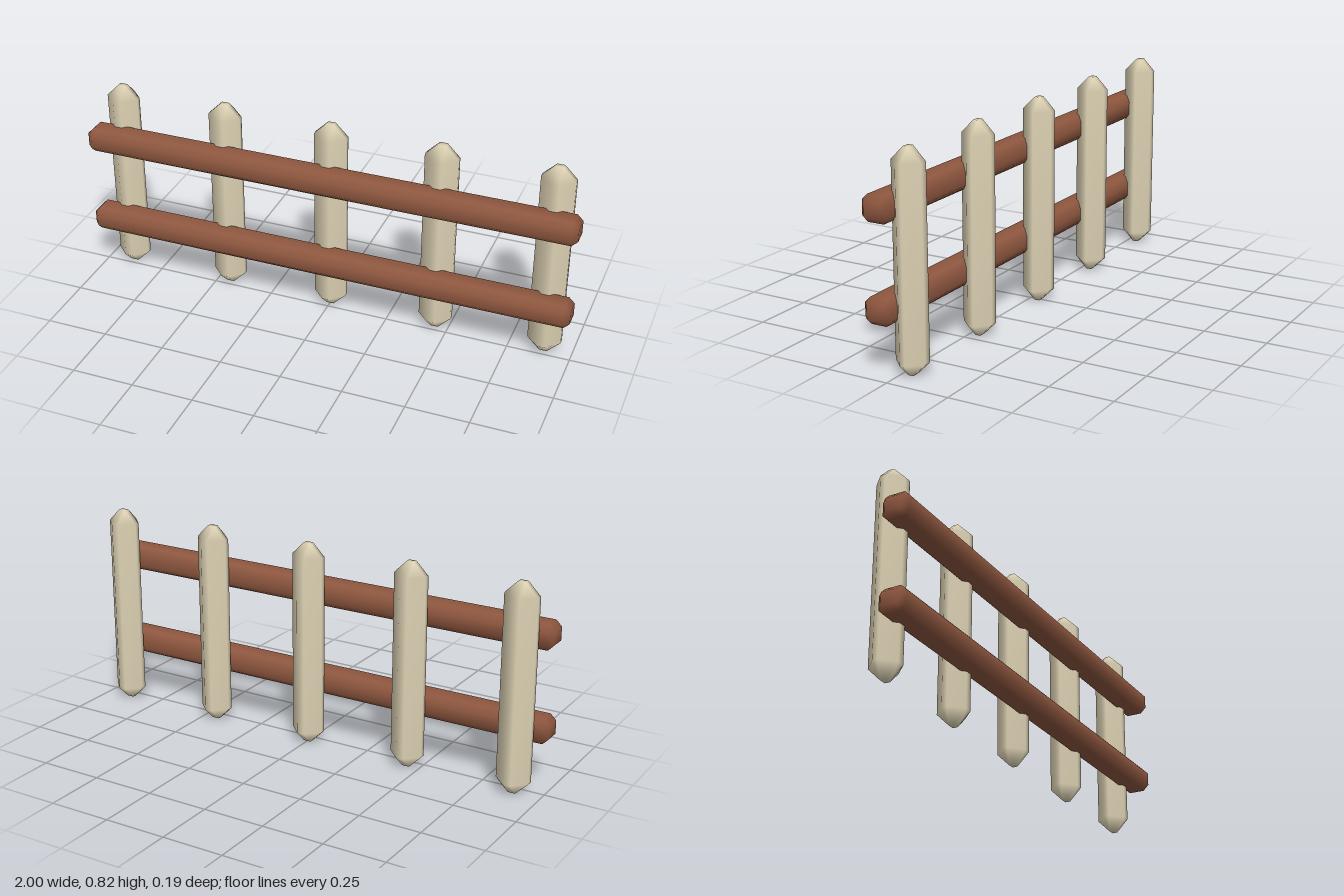
import * as THREE from 'three';
import { ConvexGeometry } from 'three/addons/geometries/ConvexGeometry.js';
import { mergeVertices } from 'three/addons/utils/BufferGeometryUtils.js';

// Box with every edge cut by a chamfer, shaded smoothly
function chamferBox(w, h, d, c) {
  const points = [];
  for (const sx of [-1, 1]) for (const sy of [-1, 1]) for (const sz of [-1, 1]) {
    for (let axis = 0; axis < 3; axis++) {
      const inset = [c, c, c];
      inset[axis] = 0;
      points.push(new THREE.Vector3(
        sx * (w / 2 - inset[0]), sy * (h / 2 - inset[1]), sz * (d / 2 - inset[2])));
    }
  }
  const hull = new ConvexGeometry(points);
  hull.deleteAttribute('normal');
  const geometry = mergeVertices(hull, 1e-4);
  geometry.computeVertexNormals();
  return geometry;
}

export function createModel() {
  const fence = new THREE.Group();
  fence.name = 'fence';
  const paleWood = new THREE.MeshStandardMaterial({ color: 0xdbd0b2 });
  paleWood.name = 'paleWood';
  const brownWood = new THREE.MeshStandardMaterial({ color: 0x905840 });
  brownWood.name = 'brownWood';

  // Upright pickets
  const picketGeometry = chamferBox(0.132, 0.823, 0.123, 0.051);
  for (let i = -2; i <= 2; i++) {
    const picket = new THREE.Mesh(picketGeometry, paleWood);
    picket.name = `picket${i + 3}`;
    picket.position.set(i * 0.4445, 0.4115, -0.0355);
    fence.add(picket);
  }

  // Horizontal rails along the front
  const railGeometry = chamferBox(2, 0.099, 0.111, 0.023);
  for (const [name, y] of [['lowerRail', 0.246], ['upperRail', 0.612]]) {
    const rail = new THREE.Mesh(railGeometry, brownWood);
    rail.name = name;
    rail.position.set(0, y, 0.0415);
    fence.add(rail);
  }
  return fence;
}
